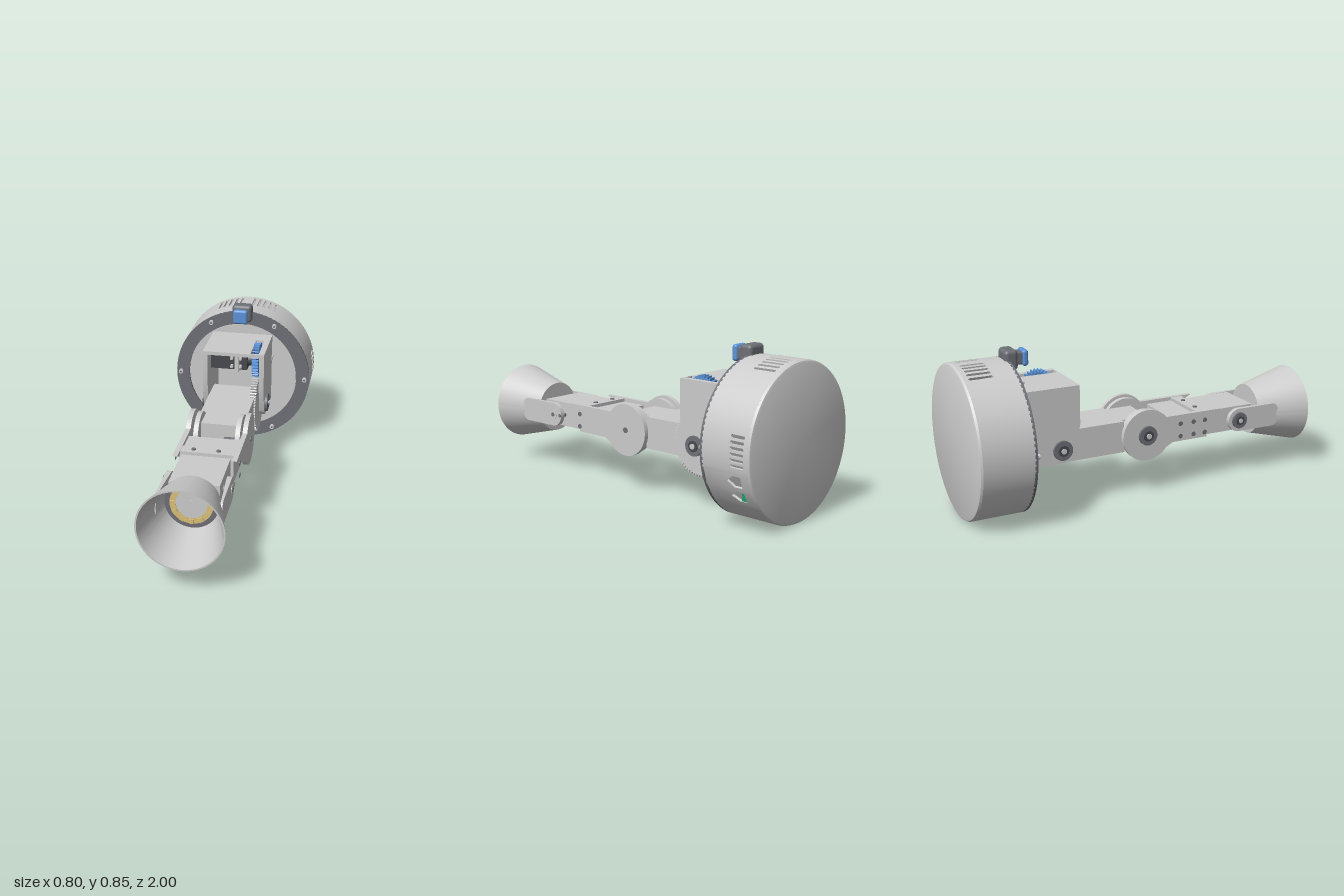
import * as THREE from 'three';
import { mergeGeometries, toCreasedNormals } from 'three/addons/utils/BufferGeometryUtils.js';
import { RoundedBoxGeometry } from 'three/addons/geometries/RoundedBoxGeometry.js';

const mat = (color) => new THREE.MeshStandardMaterial({ color });
const GREY = mat(0xcccccc), DARK = mat(0x6e6f76), BLACK = mat(0x48494e);
const BLUE = mat(0x5b93d8), GOLD = mat(0xdcc07a), GREEN = mat(0x1f9a68);
const AXIS = 0.335, BASE_Y = 0.402; // heights of the arm axis and the base centre

export function createModel() {
  const root = new THREE.Group();
  let group = root;
  const section = (name) => {
    group = new THREE.Group();
    group.name = name;
    root.add(group);
  };
  const add = (name, geo, m = GREY) => {
    const mesh = new THREE.Mesh(geo, m);
    mesh.name = name;
    group.add(mesh);
    return mesh;
  };
  const box = (name, x0, x1, y0, y1, z0, z1, m) =>
    add(name, new THREE.BoxGeometry(x1 - x0, y1 - y0, z1 - z0), m)
      .position.set((x0 + x1) / 2, (y0 + y1) / 2, (z0 + z1) / 2);
  const roundBox = (name, w, h, d, r, y, z, m) =>
    add(name, new RoundedBoxGeometry(w, h, d, 3, r), m).position.set(0, y, z);
  const cylX = (name, r, x0, x1, y, z, m, n = 40) =>
    add(name, new THREE.CylinderGeometry(r, r, Math.abs(x1 - x0), n).rotateZ(Math.PI / 2), m)
      .position.set((x0 + x1) / 2, y, z);
  const cylZ = (name, r, z0, z1, x, y, m, n = 20) =>
    add(name, new THREE.CylinderGeometry(r, r, z1 - z0, n).rotateX(Math.PI / 2), m)
      .position.set(x, y, (z0 + z1) / 2);
  // profile of [radius, z] turned around a z axis at height y
  const latheZ = (name, pts, y, m) => {
    const g = new THREE.LatheGeometry(pts.map(([r, z]) => new THREE.Vector2(r, z)), 90).rotateX(Math.PI / 2);
    add(name, toCreasedNormals(g, 0.5), m).position.y = y;
  };
  // shape drawn in (-z, y), thickened from x0 to x1
  const plateGeo = (shape, x0, x1) => toCreasedNormals(
    new THREE.ExtrudeGeometry(shape, { depth: x1 - x0, bevelEnabled: false, curveSegments: 40 })
      .rotateY(Math.PI / 2).translate(x0, 0, 0), 0.4);
  const plate = (name, shape, x0, x1, m) => add(name, plateGeo(shape, x0, x1), m);
  const gearShape = (z, y, R, teeth, depth) => {
    const pts = [];
    for (let i = 0; i < teeth; i++) {
      [[0, R - depth], [0.3, R - depth], [0.5, R], [0.8, R]].forEach(([f, r]) => {
        const a = (i + f) / teeth * Math.PI * 2;
        pts.push(new THREE.Vector2(-z + r * Math.cos(a), y + r * Math.sin(a)));
      });
    }
    return new THREE.Shape(pts);
  };
  const pivotCap = (name, x0, x1, z, r) => {
    const out = Math.sign(x1) * 0.005;
    cylX(name, r, x0, x1, AXIS, z, DARK);
    cylX(name + 'Rim', r * 0.55, x1, x1 + out, AXIS, z, BLACK);
    cylX(name + 'Screw', r * 0.28, x1, x1 + out * 2, AXIS, z, GREY, 16);
  };

  // Base: drum wall in bent patches, some pierced by vents and ports
  section('base');
  const patches = [];
  const patch = (a0, a1, hole) => {
    const s = new THREE.Shape([[a0, -0.985], [a1, -0.985], [a1, -0.72], [a0, -0.72]].map((p) => new THREE.Vector2(...p)));
    if (hole) s.holes.push(new THREE.Path(hole.map((p) => new THREE.Vector2(...p))));
    const g = new THREE.ExtrudeGeometry(s, { depth: 0.012, bevelEnabled: false });
    const p = g.attributes.position;
    for (let i = 0; i < p.count; i++) {
      const a = p.getX(i), r = 0.39 + p.getZ(i);
      p.setXYZ(i, r * Math.cos(a), BASE_Y + r * Math.sin(a), p.getY(i));
    }
    patches.push(g);
  };
  const fill = (a0, a1) => {
    const n = Math.ceil((a1 - a0) / 0.075), d = (a1 - a0) / n;
    for (let i = 0; i < n; i++) patch(a0 + i * d, a0 + (i + 1) * d);
  };
  const slots = (start, n, pitch, w, z0, z1) => {
    for (let i = 0; i < n; i++) {
      const a = start + (i + 0.5) * pitch, c = 0.006;
      patch(start + i * pitch, start + (i + 1) * pitch, [
        [a - w / 2, z0], [a, z0 - c], [a + w / 2, z0], [a + w / 2, z1], [a, z1 + c], [a - w / 2, z1]]);
    }
  };
  const H = Math.PI / 2;
  for (const a of [-0.545, -0.325]) {
    patch(a - 0.11, a + 0.11, [
      [a - 0.075, -0.94], [a + 0.075, -0.94], [a + 0.075, -0.895], [a, -0.86], [a - 0.075, -0.895]]);
  }
  fill(-0.215, -0.16);
  slots(-0.16, 6, 0.07, 0.038, -0.96, -0.89);
  fill(0.26, H - 0.4665);
  slots(H - 0.4665, 5, 0.083, 0.04, -0.957, -0.842);
  fill(H - 0.0515, H + 0.0515);
  slots(H + 0.0515, 5, 0.083, 0.04, -0.957, -0.842);
  fill(H + 0.4665, Math.PI * 2 - 0.655);
  add('drumWall', toCreasedNormals(mergeGeometries(patches), 0.4));
  latheZ('backCover', [[0, -1], [0.387, -1], [0.397, -0.996], [0.402, -0.985], [0.385, -0.985], [0, -0.985]], BASE_Y);
  latheZ('frontRing', [[0.325, -0.725], [0.402, -0.725], [0.402, -0.71], [0.325, -0.71], [0.325, -0.725]], BASE_Y, DARK);
  latheZ('frontPlate', [[0, -0.735], [0.385, -0.735], [0.385, -0.724], [0.322, -0.724], [0.322, -0.715], [0, -0.715]], BASE_Y);
  for (let i = 0; i < 6; i++) {
    const a = i * Math.PI / 3, x = 0.375 * Math.cos(a), y = BASE_Y + 0.375 * Math.sin(a);
    cylZ('ringScrew', 0.013, -0.71, -0.692, x, y);
    cylZ('ringScrewSocket', 0.006, -0.692, -0.691, x, y, DARK, 6);
  }
  box('innerBoard', -0.14, 0.16, 0.58, 0.65, -0.95, -0.86, BLUE);
  for (const y of [0.195, 0.275]) box('port', 0.26, 0.325, y - 0.025, y + 0.025, -0.945, -0.905, GREEN);

  // Push button on the rim
  section('button');
  roundBox('buttonHousing', 0.115, 0.103, 0.07, 0.02, 0.8015, -0.7, DARK);
  roundBox('buttonStem', 0.066, 0.066, 0.04, 0.01, 0.802, -0.65, DARK);
  roundBox('buttonCap', 0.084, 0.084, 0.032, 0.014, 0.802, -0.621, BLUE);

  // Shoulder housing: two cheeks, a roof with a gear slot, the servo and its gears
  section('shoulder');
  const cheek = new THREE.Shape();
  cheek.moveTo(0.72, 0.265);
  cheek.lineTo(0.72, 0.667);
  cheek.lineTo(0.39, 0.667);
  cheek.lineTo(0.39, 0.46);
  cheek.lineTo(0.423, 0.315);
  cheek.absarc(0.49, AXIS, 0.07, Math.PI + 0.29, Math.PI * 1.5, false);
  cheek.closePath();
  for (const s of [-1, 1]) {
    plate('cheek', cheek, s > 0 ? 0.148 : -0.176, s > 0 ? 0.176 : -0.148);
    pivotCap('shoulderCap', s * 0.176, s * 0.19, -0.49, 0.052);
    box('cheekTab', s * 0.178 - 0.006, s * 0.178 + 0.006, 0.517, 0.543, -0.715, -0.69);
  }
  const rect = (T, x0, x1, z0, z1) =>
    new T([[x0, z0], [x1, z0], [x1, z1], [x0, z1]].map((p) => new THREE.Vector2(...p)));
  const roof = rect(THREE.Shape, -0.148, 0.148, -0.72, -0.39);
  roof.holes.push(rect(THREE.Path, 0.096, 0.143, -0.615, -0.4));
  add('roof', new THREE.ExtrudeGeometry(roof, { depth: 0.02, bevelEnabled: false }).rotateX(H).translate(0, 0.667, 0));
  box('servo', -0.14, 0.07, 0.545, 0.64, -0.64, -0.45, BLACK);
  box('servoBracket', 0.003, 0.026, 0.54, 0.647, -0.66, -0.42);
  box('servoMount', -0.148, 0.148, 0.53, 0.575, -0.68, -0.65, BLUE);
  for (const x of [-0.017, 0.033]) for (const y of [0.568, 0.617]) cylZ('servoScrew', 0.009, -0.45, -0.43, x, y);
  cylX('servoHub', 0.035, 0.07, 0.1, 0.59, -0.505, BLACK);
  plate('driveGear', gearShape(-0.505, 0.59, 0.1, 32, 0.014), 0.102, 0.138, BLUE);
  plate('shoulderGear', gearShape(-0.49, AXIS, 0.17, 60, 0.012), 0.102, 0.138);

  // Lower arm from shoulder to elbow
  section('lowerArm');
  cylX('shoulderBarrel', 0.085, -0.13, 0.13, AXIS, -0.49);
  box('lowerArmBody', -0.132, 0.13, 0.25, 0.42, -0.49, -0.12);
  box('lowerArmNeck', -0.105, 0.105, 0.25, 0.42, -0.12, 0.03);
  for (const s of [-1, 1]) cylX('innerElbowDisc', 0.13, s * 0.1, s * 0.126, AXIS, 0, GREY, 64);
  cylX('elbowShaft', 0.022, 0.03, 0.105, AXIS, 0.05, DARK);
  cylX('elbowAxle', 0.03, -0.15, 0.15, AXIS, 0, DARK);

  // Upper arm: side plates with elbow discs, joined by a cross body
  section('upperArm');
  const side = new THREE.Shape();
  const a0 = Math.PI - Math.asin(0.085 / 0.14);
  side.moveTo(-0.435, 0.25);
  side.absarc(0, AXIS, 0.14, -a0, a0, false);
  side.lineTo(-0.435, 0.42);
  side.closePath();
  for (const s of [-1, 1]) {
    plate('upperArmSide', side, s > 0 ? 0.14 : -0.166, s > 0 ? 0.166 : -0.14);
    for (const z of s > 0 ? [0.35] : [0.2, 0.28, 0.35])
      for (const y of [0.3, 0.37]) cylX('sideScrew', 0.013, s * 0.166, s * 0.169, y, z, DARK, 12);
  }
  pivotCap('elbowCap', -0.166, -0.18, 0, 0.052);
  cylX('elbowScrew', 0.015, 0.166, 0.17, AXIS, 0, DARK, 16);
  box('crossBody', -0.14, 0.14, 0.262, 0.4, 0.155, 0.38);
  box('bellyPanel', -0.12, 0.12, 0.259, 0.262, 0.17, 0.36, DARK);
  box('crossBar', -0.145, 0.145, 0.4, 0.418, 0.305, 0.37);
  for (const x of [-0.075, 0.055])
    add('barScrew', new THREE.CylinderGeometry(0.012, 0.012, 0.006, 16), DARK).position.set(x, 0.42, 0.338);

  // Wrist block and the lamp's fork
  section('wrist');
  box('wristBody', -0.13, 0.125, 0.27, 0.405, 0.38, 0.67);
  cylX('wristAxle', 0.03, -0.145, 0.145, AXIS, 0.57, DARK);
  pivotCap('wristCap', -0.166, -0.178, 0.57, 0.045);
  cylX('wristScrew', 0.026, 0.166, 0.169, AXIS, 0.57, GREY);
  cylX('wristScrewSocket', 0.012, 0.169, 0.171, AXIS, 0.57, DARK, 16);
  cylX('wristPin', 0.01, 0.12, 0.168, AXIS, 0.515, DARK, 12);

  // Lamp head: cone shade, fork arms and ring of lights
  section('lampHead');
  const fork = new THREE.Shape();
  fork.absarc(-0.57, AXIS, 0.065, -H, H, false);
  fork.lineTo(-0.78, 0.4);
  fork.quadraticCurveTo(-0.83, 0.4, -0.83, AXIS);
  fork.quadraticCurveTo(-0.83, 0.27, -0.78, 0.27);
  fork.closePath();
  for (const s of [-1, 1]) {
    const g = plateGeo(fork, s > 0 ? 0.14 : -0.166, s > 0 ? 0.166 : -0.14);
    const p = g.attributes.position;
    // splay the inner face to meet the cone
    for (let i = 0; i < p.count; i++)
      if (p.getZ(i) > 0.7) p.setX(i, s * Math.max(Math.abs(p.getX(i)), 0.154));
    add('forkArm', g);
  }
  latheZ('shade', [[0, 0.715], [0.14, 0.715], [0.214, 1], [0.206, 1], [0.133, 0.73], [0, 0.73]], AXIS);
  cylZ('reflectorDisc', 0.134, 0.73, 0.738, 0, AXIS, DARK, 64);
  latheZ('lightRing', [[0.078, 0.738], [0.108, 0.738], [0.108, 0.744], [0.078, 0.744], [0.078, 0.738]], AXIS, GOLD);
  for (let i = 0; i < 12; i++) {
    const a = i * Math.PI / 6;
    const led = add('light', new THREE.BoxGeometry(0.024, 0.024, 0.008), GOLD);
    led.position.set(0.094 * Math.cos(a), AXIS + 0.094 * Math.sin(a), 0.747);
    led.rotation.z = a;
  }
  cylZ('centreDisc', 0.078, 0.738, 0.742, 0, AXIS, GREY, 64);
  latheZ('centreRim', [[0.016, 0.742], [0.018, 0.742], [0.018, 0.744], [0.016, 0.744]], AXIS);
  return root;
}
